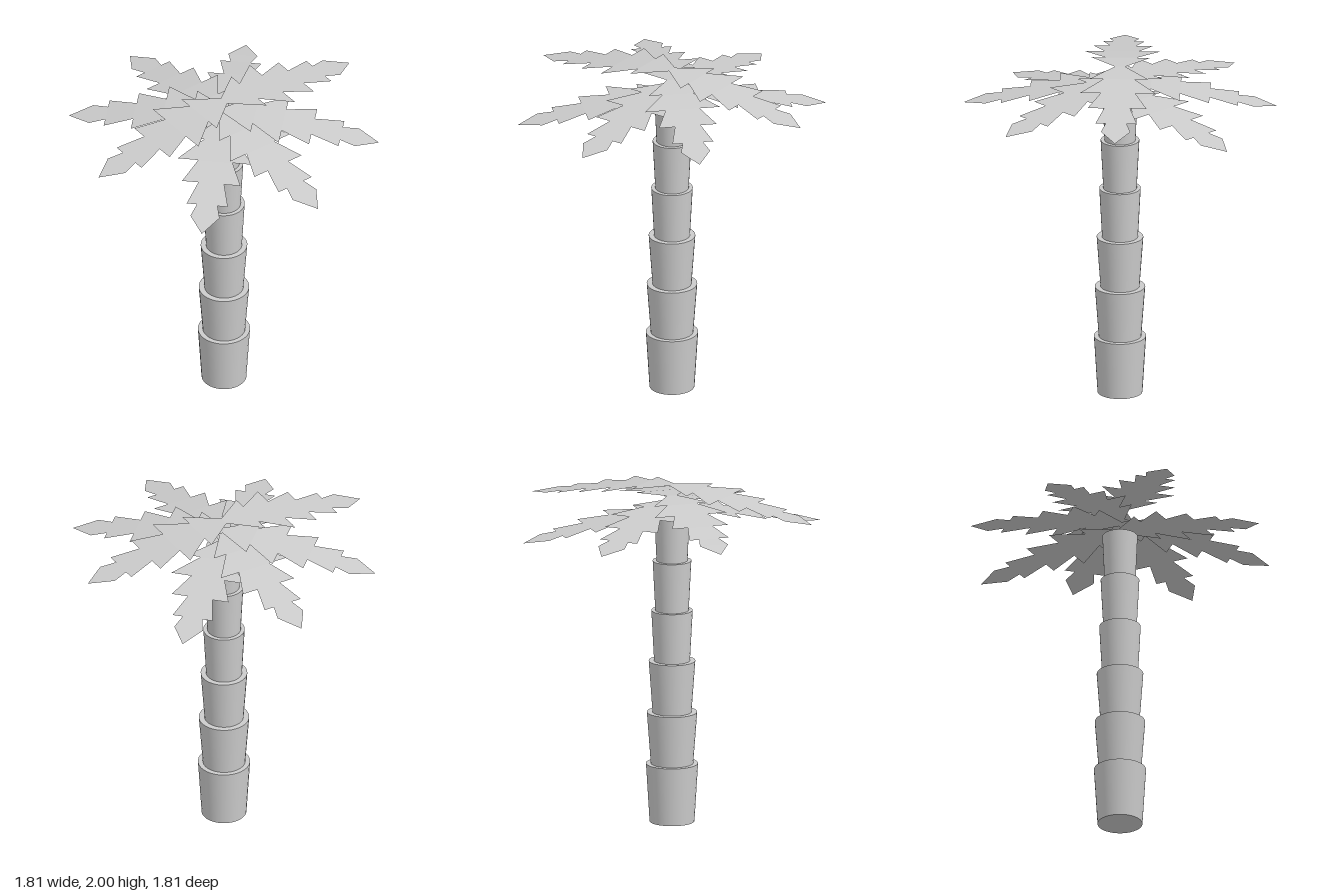
import * as THREE from 'three';

const material = new THREE.MeshStandardMaterial({ color: 0xcccccc });
const leafMaterial = new THREE.MeshStandardMaterial({ color: 0xcccccc, side: THREE.DoubleSide });

// One jagged frond along +x: each section flares from a narrow neck to a pair of teeth.
// Section: [start, half width, drop, end, half width, drop]
function frondGeometry() {
  const sections = [
    [0, 0.03, 0, 0.18, 0.17, 0.011],
    [0.18, 0.09, 0.011, 0.35, 0.22, 0.035],
    [0.35, 0.10, 0.035, 0.52, 0.17, 0.065],
    [0.52, 0.075, 0.065, 0.685, 0.12, 0.098],
    [0.685, 0.06, 0.098, 0.775, 0.085, 0.115],
    [0.775, 0.085, 0.115, 0.905, 0, 0.14],
  ];
  const points = [];
  for (const [a, wa, da, b, wb, db] of sections) {
    points.push(a, -da, -wa, a, -da, wa, b, -db, wb);
    if (wb > 0) points.push(a, -da, -wa, b, -db, wb, b, -db, -wb);
  }
  const geometry = new THREE.BufferGeometry();
  geometry.setAttribute('position', new THREE.Float32BufferAttribute(points, 3));
  geometry.computeVertexNormals();
  return geometry;
}

export function createModel() {
  const palm = new THREE.Group();
  palm.name = 'palmTree';

  // Trunk of stacked, upward-flaring segments: [bottom y, top y, bottom radius, top radius]
  const trunk = new THREE.Group();
  trunk.name = 'trunk';
  const segments = [
    [0, 0.345, 0.13, 0.151],
    [0.345, 0.65, 0.123, 0.146],
    [0.65, 0.955, 0.113, 0.135],
    [0.955, 1.255, 0.104, 0.12],
    [1.255, 1.55, 0.097, 0.112],
    [1.55, 1.83, 0.09, 0.102],
  ];
  segments.forEach(([y0, y1, r0, r1], i) => {
    const mesh = new THREE.Mesh(new THREE.CylinderGeometry(r1, r0, y1 - y0, 32), material);
    mesh.name = `trunkSegment${i + 1}`;
    mesh.position.y = (y0 + y1) / 2;
    trunk.add(mesh);
  });
  palm.add(trunk);

  // Crown of four opposite frond pairs at stepped heights: [height, turn in degrees]
  const crown = new THREE.Group();
  crown.name = 'crown';
  const geometry = frondGeometry();
  const pairs = [[2.0, 45], [1.935, 0], [1.91, -45], [1.86, 90]];
  pairs.forEach(([y, degrees], i) => {
    for (const [half, side] of ['A', 'B'].entries()) {
      const frond = new THREE.Mesh(geometry, leafMaterial);
      frond.name = `frond${i + 1}${side}`;
      frond.position.y = y;
      frond.rotation.y = THREE.MathUtils.degToRad(degrees) + half * Math.PI;
      crown.add(frond);
    }
  });
  palm.add(crown);

  return palm;
}
